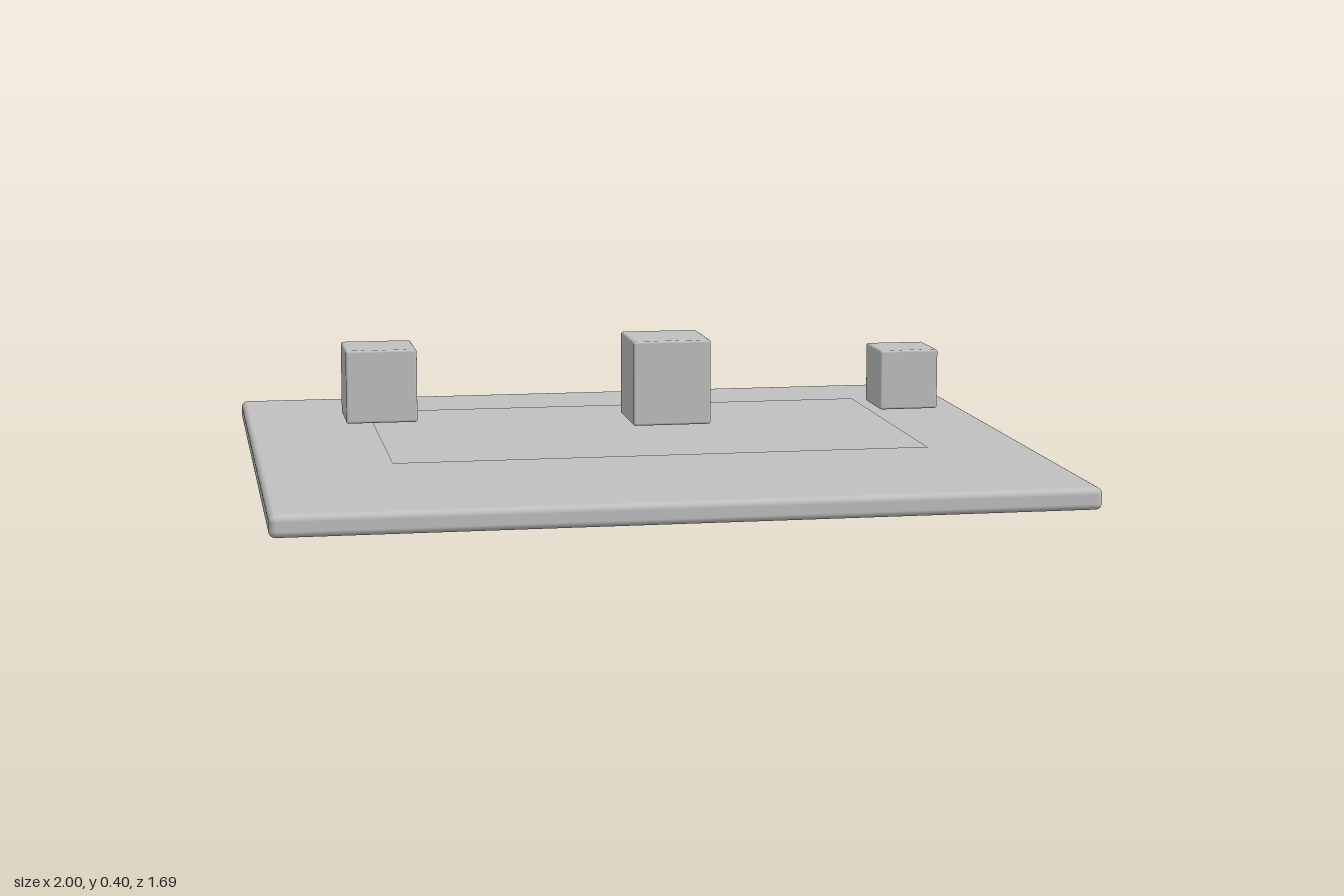
import * as THREE from 'three';
import { RoundedBoxGeometry } from 'three/addons/geometries/RoundedBoxGeometry.js';

export function createModel() {
  const model = new THREE.Group();
  model.name = 'floatingBlocksOverSlab';

  const grey = new THREE.MeshStandardMaterial({ color: 0xc0c0c0, side: THREE.DoubleSide });
  grey.name = 'plain grey';

  const add = (name, geometry, x, y, z) => {
    const mesh = new THREE.Mesh(geometry, grey);
    mesh.name = name;
    mesh.position.set(x, y, z);
    model.add(mesh);
  };

  // Base slab with softened edges
  const top = 0.055;
  add('baseSlab', new RoundedBoxGeometry(2, top, 1.69, 4, 0.016), 0, top / 2, 0);

  // Flat sheet hovering just above the slab
  add('innerSheet', new THREE.PlaneGeometry(1.355, 0.795).rotateX(-Math.PI / 2), 0, 0.091, 0.028);

  // Floating blocks: name, width, height, depth, centre
  const blocks = [
    ['rightBlock', 0.176, 0.182, 0.175, -0.694, 0.268, 0.245],
    ['middleBlock', 0.192, 0.208, 0.192, -0.002, 0.291, 0.446],
    ['leftBlock', 0.152, 0.154, 0.152, 0.675, 0.237, 0.168],
  ];
  for (const [name, w, h, d, x, y, z] of blocks) {
    add(name, new RoundedBoxGeometry(w, h, d, 3, 0.006), x, y, z);
  }

  return model;
}
